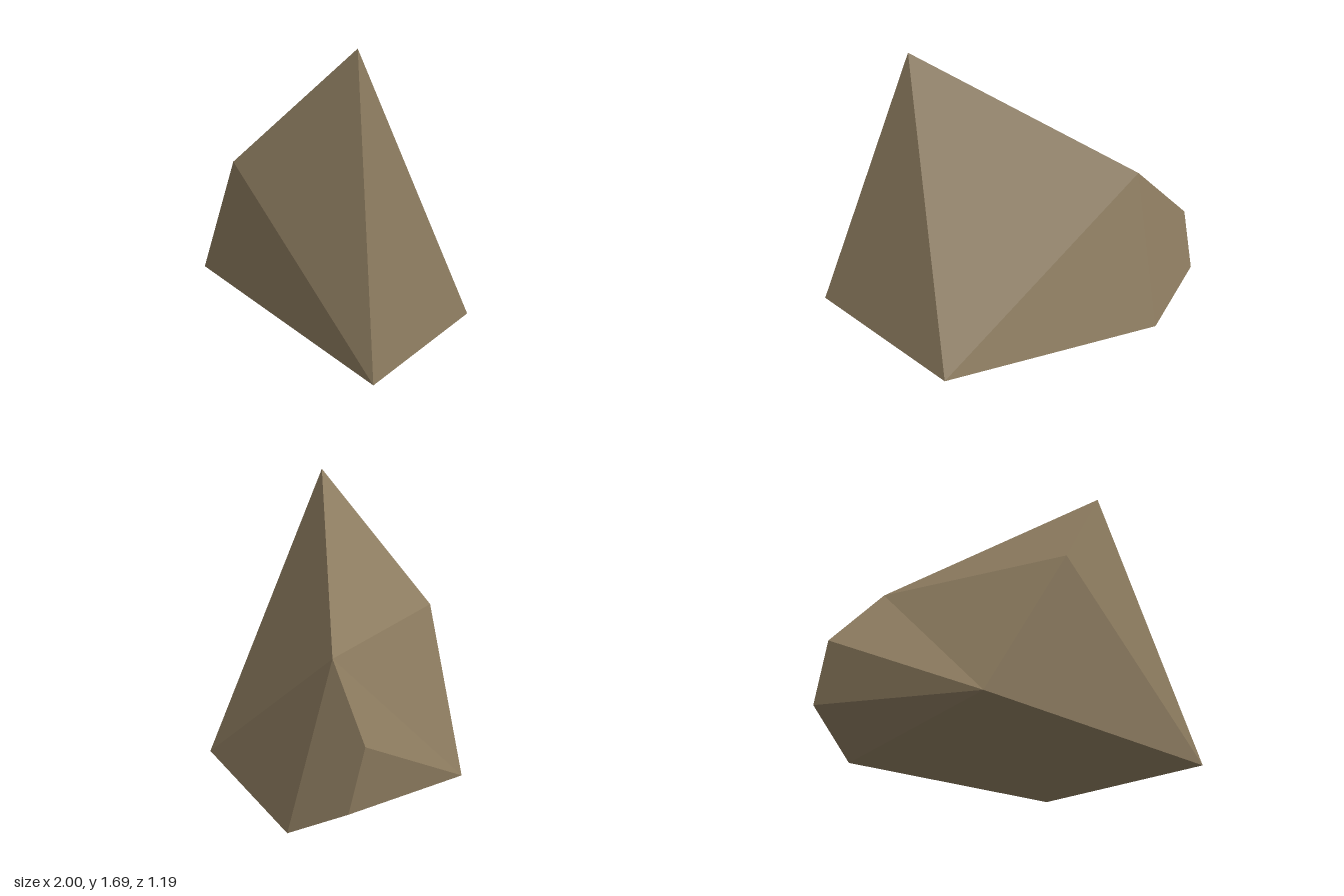
import * as THREE from 'three';

// Corners of the boulder
const corners = {
  peak: [0.50, 1.69, 0.19],
  brow: [-0.09, 0.96, 0.59],
  shoulder: [-0.65, 0.91, -0.33],
  sideHigh: [-0.99, 0.54, -0.32],
  sideLow: [-1.00, 0.20, -0.42],
  footFront: [-0.58, 0.09, 0.52],
  footLeft: [1.00, 0.05, 0.44],
  footBack: [0.64, 0, -0.50],
  footRear: [-0.66, 0, -0.60],
};

// Facets, as triples of corners
const facets = [
  // front
  'peak brow shoulder', 'brow shoulder footFront', 'peak brow footLeft', 'brow footFront footLeft',
  // sides
  'shoulder sideHigh footFront', 'sideHigh sideLow footFront', 'peak footLeft footBack',
  // back
  'peak footBack shoulder', 'shoulder footBack footRear',
  'shoulder footRear sideHigh', 'sideHigh footRear sideLow',
  // underside
  'sideLow footRear footFront', 'footFront footRear footBack', 'footFront footBack footLeft',
];

// Turn every facet outward from a point inside the stone
function facetedGeometry() {
  const inside = new THREE.Vector3(0, 0.5, 0);
  const points = [];
  for (const facet of facets) {
    const [a, b, c] = facet.split(' ').map((name) => new THREE.Vector3(...corners[name]));
    const normal = b.clone().sub(a).cross(c.clone().sub(a));
    const outward = normal.dot(a.clone().sub(inside)) > 0;
    points.push(...(outward ? [a, b, c] : [a, c, b]));
  }
  const geometry = new THREE.BufferGeometry().setFromPoints(points);
  geometry.computeVertexNormals();
  return geometry;
}

export function createModel() {
  const stone = new THREE.MeshStandardMaterial({ color: 0x8b7a5e, flatShading: true });
  stone.name = 'brown stone';
  const boulder = new THREE.Mesh(facetedGeometry(), stone);
  boulder.name = 'boulder';
  const group = new THREE.Group();
  group.name = 'rock';
  group.add(boulder);
  return group;
}
